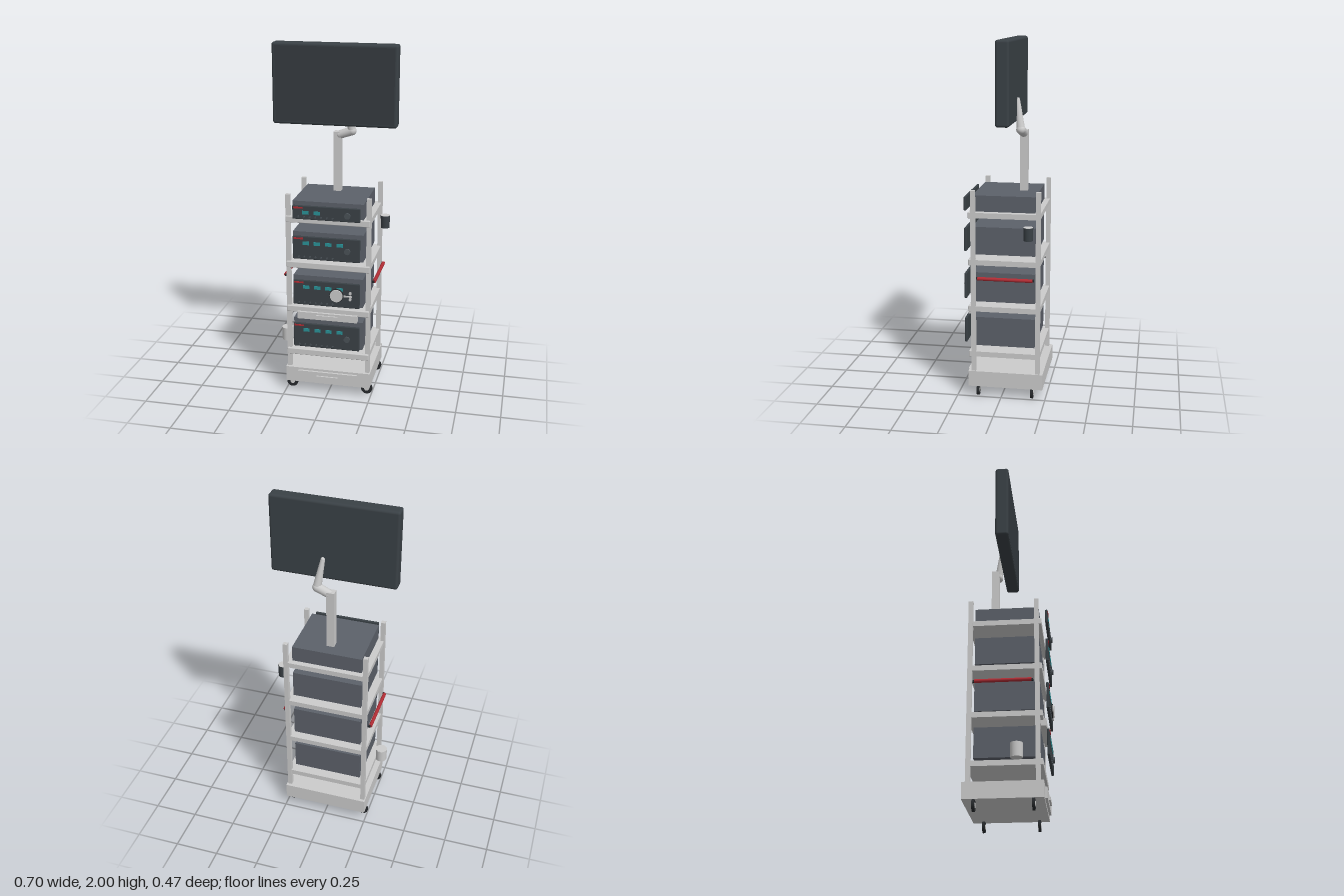
import * as THREE from 'three';
import { RoundedBoxGeometry } from 'three/addons/geometries/RoundedBoxGeometry.js';

const mat = (color) => new THREE.MeshStandardMaterial({ color });
const grey = mat(0xcccccc), dark = mat(0x3a4146), casing = mat(0x5c616a), black = mat(0x26292c),
  red = mat(0xb02c34), teal = mat(0x2a9298), knobGrey = mat(0x4a5157);

function add(parent, name, geo, material, x, y, z) {
  const m = new THREE.Mesh(geo, material);
  m.name = name;
  m.position.set(x, y, z);
  parent.add(m);
  return m;
}

// Box given by its limits on each axis
function box(parent, name, material, x0, x1, y0, y1, z0, z1) {
  return add(parent, name, new THREE.BoxGeometry(x1 - x0, y1 - y0, z1 - z0), material,
    (x0 + x1) / 2, (y0 + y1) / 2, (z0 + z1) / 2);
}

// Disc or rod lying along z
function disc(parent, name, material, r, depth, x, y, z, sides = 24) {
  const m = add(parent, name, new THREE.CylinderGeometry(r, r, depth, sides), material, x, y, z);
  m.rotation.x = Math.PI / 2;
  return m;
}

// Tapered round link between two points, with ball ends
function link(parent, name, a, b, ra, rb) {
  const g = new THREE.Group();
  g.name = name;
  const dir = b.clone().sub(a);
  const mid = a.clone().add(b).multiplyScalar(0.5);
  const tube = add(g, name + 'Tube', new THREE.CylinderGeometry(rb, ra, dir.length(), 20), grey, mid.x, mid.y, mid.z);
  tube.quaternion.setFromUnitVectors(new THREE.Vector3(0, 1, 0), dir.normalize());
  for (const [p, r] of [[a, ra], [b, rb]]) {
    add(g, name + 'Joint', new THREE.SphereGeometry(r, 20, 12), grey, p.x, p.y, p.z);
  }
  parent.add(g);
}

// Drawer front with a pull
function drawer(parent, y0, y1) {
  const g = new THREE.Group(), mid = (y0 + y1) / 2;
  g.name = 'drawer';
  box(g, 'drawerFront', grey, -0.173, 0.173, y0, y1, 0.17, 0.2);
  box(g, 'drawerPull', grey, -0.062, 0.062, mid - 0.009, mid + 0.009, 0.2, 0.209);
  parent.add(g);
}

// Equipment unit: casing, front panel and its controls
function unit(parent, y0, y1, displays, dial) {
  const g = new THREE.Group();
  g.name = 'equipmentUnit';
  box(g, 'casing', casing, -0.2, 0.2, y0, y1, -0.183, 0.168);
  const p0 = y0 + 0.012, p1 = y1 - 0.012, mid = (p0 + p1) / 2;
  add(g, 'frontPanel', new RoundedBoxGeometry(0.38, p1 - p0, 0.014, 2, 0.004), dark, 0, mid, 0.21);
  box(g, 'redLabel', red, -0.184, -0.13, p1 - 0.016, p1 - 0.007, 0.216, 0.22);
  const dy = p1 - 0.038;
  for (let i = 0; i < displays; i++) {
    const x = -0.115 + i * 0.064;
    box(g, 'display', teal, x - 0.018, x + 0.018, dy - 0.01, dy + 0.01, 0.216, 0.22);
  }
  const by = p0 + 0.016;
  for (let i = 0; i < 7; i++) {
    disc(g, 'button', knobGrey, 0.005, 0.006, -0.155 + i * 0.032, by, 0.219, 12);
  }
  if (dial) {
    // Large dial and a cluster of small knobs
    disc(g, 'dialBase', black, 0.04, 0.008, 0.06, mid, 0.221, 32);
    disc(g, 'dial', grey, 0.036, 0.008, 0.06, mid, 0.228, 32);
    for (const s of [-1, 1]) {
      disc(g, 'smallKnob', grey, 0.008, 0.01, 0.138, mid + s * 0.018, 0.221, 16);
    }
    box(g, 'lever', grey, 0.1, 0.148, mid - 0.004, mid + 0.004, 0.222, 0.227);
  } else {
    disc(g, 'knob', knobGrey, 0.017, 0.012, 0.12, mid - 0.003, 0.222);
  }
  parent.add(g);
}

// Cup with a pale top, hung beside the rack
function cup(parent, material, r, y0, y1, x, z) {
  const g = new THREE.Group();
  g.name = 'cupHolder';
  add(g, 'cup', new THREE.CylinderGeometry(r, r * 0.94, y1 - y0, 28), material, x, (y0 + y1) / 2, z);
  add(g, 'cupLid', new THREE.CylinderGeometry(r * 0.98, r * 0.98, 0.003, 28), grey, x, y1, z);
  parent.add(g);
}

export function createModel() {
  const root = new THREE.Group();
  root.name = 'equipmentTrolley';

  // Base cabinet
  box(root, 'base', grey, -0.247, 0.247, 0.06, 0.15, -0.235, 0.187);
  drawer(root, 0.075, 0.137);

  // Casters
  for (const x of [-0.222, 0.222]) {
    for (const z of [0.133, -0.174]) {
      const c = new THREE.Group();
      c.name = 'caster';
      disc(c, 'tyre', black, 0.033, 0.014, x, 0.033, z);
      disc(c, 'hub', grey, 0.014, 0.018, x, 0.033, z);
      root.add(c);
    }
  }

  // Corner posts
  for (const x of [-0.229, 0.229]) {
    for (const z of [0.158, -0.205]) {
      box(root, 'post', grey, x - 0.0125, x + 0.0125, 0.15, 1.19, z - 0.0125, z + 0.0125);
    }
  }

  // Shelves with a front rail
  for (const y of [0.25, 0.517, 0.785, 1.052]) {
    box(root, 'shelf', grey, -0.237, 0.237, y - 0.015, y + 0.015, -0.215, 0.17);
    add(root, 'shelfRail', new RoundedBoxGeometry(0.476, 0.036, 0.018, 2, 0.004), grey, 0, y, 0.176);
  }
  drawer(root, 0.467, 0.508);

  // Stacked equipment
  unit(root, 0.29, 0.458, 4, false);
  unit(root, 0.55, 0.72, 4, true);
  unit(root, 0.823, 0.98, 4, false);
  unit(root, 1.055, 1.157, 2, false);

  // Side handles
  for (const s of [-1, 1]) {
    disc(root, 'handle', red, 0.01, 0.306, s * 0.257, 0.7, -0.024, 16);
    for (const z of [-0.18, 0.132]) {
      box(root, 'handleMount', black, s * 0.252 - 0.006, s * 0.252 + 0.006, 0.694, 0.706, z - 0.006, z + 0.006);
    }
  }

  // Cups
  cup(root, grey, 0.034, 0.263, 0.34, -0.271, 0.05);
  cup(root, dark, 0.027, 0.93, 1.003, 0.268, -0.155);

  // Pole and jointed arm
  box(root, 'pole', grey, -0.022, 0.022, 1.155, 1.5, -0.115, -0.072);
  const elbow = new THREE.Vector3(0.082, 1.508, -0.085);
  link(root, 'lowerArm', new THREE.Vector3(0.012, 1.482, -0.092), elbow, 0.024, 0.026);
  link(root, 'upperArm', elbow, new THREE.Vector3(0.055, 1.67, -0.064), 0.024, 0.012);

  // Monitor
  add(root, 'monitor', new RoundedBoxGeometry(0.7, 0.45, 0.075, 3, 0.014), dark, 0, 1.775, -0.0245);
  box(root, 'screen', mat(0x353b40), -0.333, 0.333, 1.567, 1.983, 0.012, 0.0135);
  return root;
}
